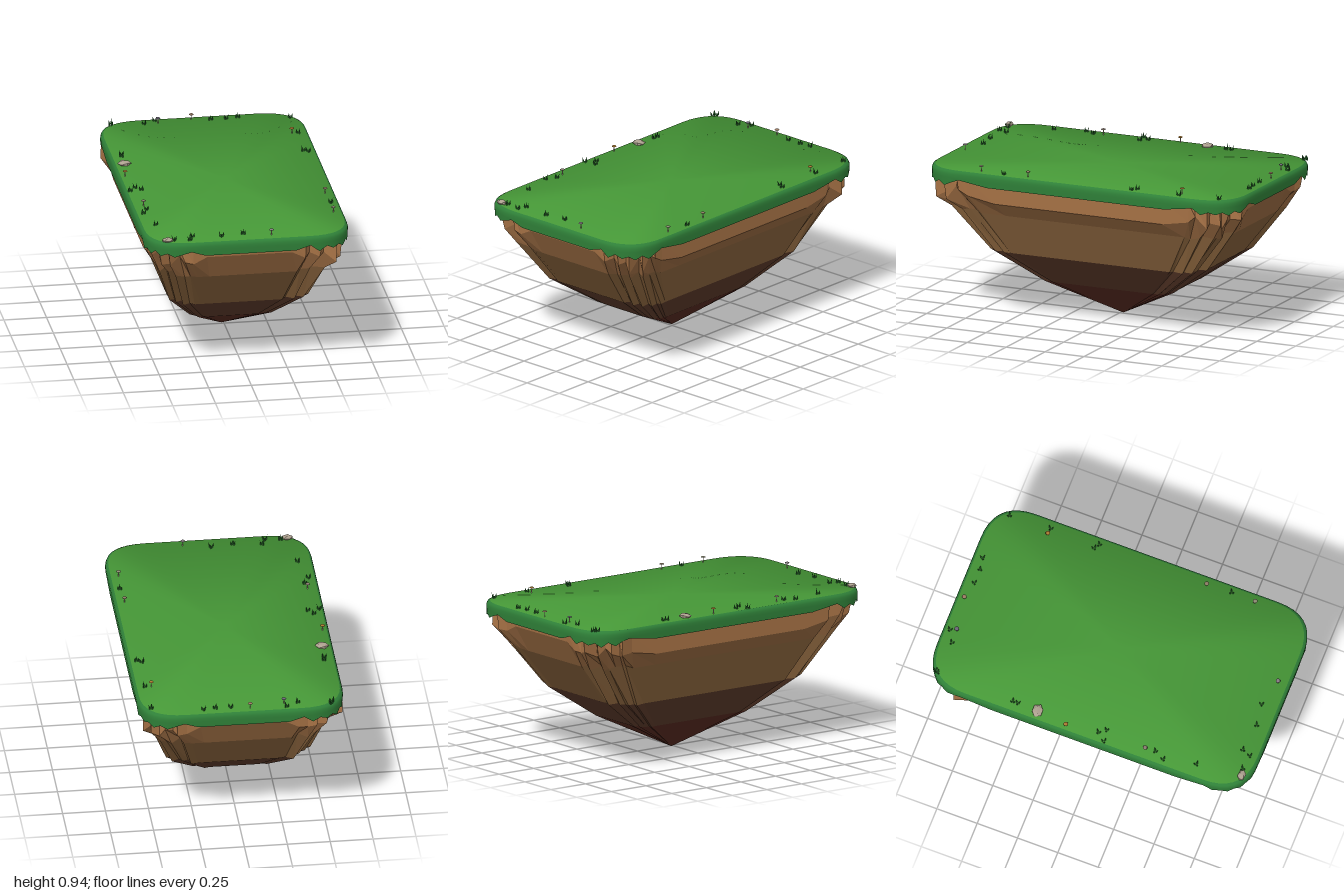
import * as THREE from 'three';

const HX = 0.6, HZ = 1.0, TOP = 0.9, REACH = 0.25, SEG = 9;

function makeRandom(seed) {
  return () => {
    seed = (seed * 16807) % 2147483647;
    return seed / 2147483647;
  };
}

// Rounded rectangle: soft corners joined by straight sides, walked from +x towards +z.
// Each point knows whether it lies inside a corner, where a corner ends, or along a side.
function makeOutline() {
  const points = [];
  [[1, 1], [-1, 1], [-1, -1], [1, -1]].forEach(([sx, sz], k) => {
    const corner = new THREE.Vector2(sx * HX, sz * HZ);
    const onSide = new THREE.Vector2(sx * HX, sz * (HZ - REACH));
    const onEnd = new THREE.Vector2(sx * (HX - REACH), sz * HZ);
    const even = k % 2 === 0;
    const curve = new THREE.QuadraticBezierCurve(even ? onSide : onEnd, corner, even ? onEnd : onSide);
    curve.getPoints(SEG).forEach((p, i) => {
      points.push({ x: p.x, z: p.y, kind: i === 0 || i === SEG ? 'cornerEnd' : 'corner' });
    });
    const last = points[points.length - 1];
    const mirror = even ? [-last.x, last.z] : [last.x, -last.z];
    for (const t of [0.12, 0.88]) {
      points.push({
        x: THREE.MathUtils.lerp(last.x, mirror[0], t),
        z: THREE.MathUtils.lerp(last.z, mirror[1], t),
        kind: even ? 'endSide' : 'longSide',
      });
    }
  });
  return points;
}

// Closed skin through rows of [x, y, z] points, all rows of equal length
function loft(rows) {
  const n = rows[0].length, index = [];
  for (let r = 0; r < rows.length - 1; r++) {
    for (let j = 0; j < n; j++) {
      const a = r * n + j, b = r * n + (j + 1) % n;
      index.push(a, b, a + n, b, b + n, a + n);
    }
  }
  const geometry = new THREE.BufferGeometry();
  geometry.setAttribute('position', new THREE.Float32BufferAttribute(rows.flat(2), 3));
  geometry.setIndex(index);
  geometry.computeVertexNormals();
  return geometry;
}

function addMesh(parent, name, geometry, color, options = {}) {
  const mesh = new THREE.Mesh(geometry, new THREE.MeshStandardMaterial({ color, ...options }));
  mesh.name = name;
  parent.add(mesh);
  return mesh;
}

// Grass cap: flat top, rounded lip and a ragged hanging hem
function addTurf(group, outline, random) {
  const hem = outline.map((p, i) => {
    if (p.kind === 'cornerEnd') return 0.847;
    if (p.kind === 'corner') return 0.822 + (i % 2 ? 0.012 : -0.012) + (random() - 0.5) * 0.012;
    return 0.821;
  });
  const ring = (inset, y) => outline.map((p, i) => [
    p.x * (1 - inset / HX), y === null ? hem[i] : y, p.z * (1 - inset / HZ)]);
  const lip = [ring(0.016, TOP), ring(0.005, 0.893), ring(0, 0.878), ring(0, 0.857), ring(0.002, null)];
  addMesh(group, 'turfLip', loft(lip), 0x2f8038);
  addMesh(group, 'turfUnderside', loft([ring(0.002, null), ring(0.02, 0.85), ring(0.08, 0.86)]), 0x1f6b3a,
    { side: THREE.DoubleSide });

  // Top surface, its rim normals leaning outwards for a soft rolled edge
  const n = outline.length;
  const top = loft([outline.map(() => [0, TOP, 0]), ring(0.016, TOP)]);
  const normals = top.attributes.normal;
  const v = new THREE.Vector3();
  outline.forEach((p, i) => {
    v.set(0, 1, 0);
    normals.setXYZ(i, v.x, v.y, v.z);
    v.set(Math.pow(p.x / HX, 5), 0, Math.pow(p.z / HZ, 5)).setLength(0.6).setY(1).normalize();
    normals.setXYZ(n + i, v.x, v.y, v.z);
  });
  addMesh(group, 'turfTop', top, 0x459636);
  addMesh(group, 'waterBand', loft([ring(0.012, 0.862), ring(0.014, 0.845), ring(0.05, 0.842)]), 0x35b5c0,
    { side: THREE.DoubleSide });
}

// Faceted rock tapering to a point, with craggy columns at the corners
function addRock(group, outline, random) {
  const crag = outline.map((p, i) => (p.kind === 'corner' ? (i % 2 ? 0.015 : -0.035) + (random() - 0.5) * 0.05 : 0));
  const ledge = { endSide: 0.79, longSide: 0.72, cornerEnd: 0.75 };
  const levels = [
    { y: 0.86, hx: 0.57, hz: 0.955, rough: 0.02, color: 0xa87346 },
    { y: null, hx: 0.562, hz: 0.945, rough: 0.05, color: 0x966840 },
    { y: 0.64, hx: 0.5, hz: 0.87, rough: 0.04, color: 0x85603a },
    { y: 0.395, hx: 0.41, hz: 0.68, rough: 0.03, color: 0x593828 },
    { y: 0.205, hx: 0.25, hz: 0.41, rough: 0.02, color: 0x55291f },
    { y: 0, hx: 0, hz: 0, rough: 0 },
  ];
  const rows = levels.map((level, r) => outline.map((p, i) => {
    const corner = p.kind === 'corner';
    const s = 1 + crag[i] + (corner ? (random() - 0.5) * level.rough : 0);
    let y = level.y;
    if (y === null) y = ledge[p.kind] ?? 0.71 + random() * 0.09;
    else if (r === 2 && corner) y += (random() - 0.3) * 0.04;
    const shift = -0.015 * (1 - level.hz);
    return [p.x / HX * level.hx * s + shift, y, p.z / HZ * level.hz * s + shift];
  }));
  const names = ['rockRim', 'rockShoulder', 'rockFlank', 'rockLower', 'rockTip'];
  names.forEach((name, r) => {
    addMesh(group, name, loft([rows[r], rows[r + 1]]), levels[r].color, { flatShading: true });
  });
}

function makeTuft(random) {
  const tuft = new THREE.Group();
  tuft.name = 'grassTuft';
  const spin = random() * Math.PI;
  for (let k = 0; k < 3; k++) {
    const height = 0.024 + random() * 0.009;
    const blade = new THREE.ConeGeometry(0.006, height, 4).translate(0, height / 2, 0).rotateZ(-0.28);
    blade.translate(0.008, 0, 0).rotateY(spin + k * Math.PI * 2 / 3);
    addMesh(tuft, 'blade', blade, 0x2a7030, { flatShading: true });
  }
  return tuft;
}

function makeMushroom(capColor) {
  const mushroom = new THREE.Group();
  mushroom.name = 'mushroom';
  addMesh(mushroom, 'stem', new THREE.CylinderGeometry(0.0025, 0.003, 0.034, 6).translate(0, 0.017, 0), 0xcfc4a8);
  const cap = new THREE.SphereGeometry(0.014, 8, 4, 0, Math.PI * 2, 0, Math.PI / 2);
  cap.scale(1, 0.5, 1).translate(0, 0.031, 0);
  addMesh(mushroom, 'cap', cap, capColor, { side: THREE.DoubleSide });
  return mushroom;
}

export function createModel() {
  const group = new THREE.Group();
  group.name = 'floatingIsland';
  const random = makeRandom(77);
  const outline = makeOutline();
  addTurf(group, outline, random);
  addRock(group, outline, random);

  const place = (object, x, z) => {
    object.position.set(x, TOP, z);
    group.add(object);
  };

  // Grass tufts around the rim
  const tufts = [
    [-0.52, -0.93], [-0.51, -0.95], [-0.32, -0.92], [-0.25, -0.96], [0.07, -0.93], [0.16, -0.93], [0.23, -0.94],
    [0.53, -0.89], [0.54, -0.64], [0.52, -0.36], [0.55, -0.34], [-0.53, -0.46], [-0.53, -0.43], [-0.53, 0.07],
    [-0.57, 0.12], [-0.5, 0.11], [-0.52, 0.42], [-0.55, 0.48], [-0.51, 0.67], [0.55, 0.48], [-0.33, 0.89],
    [-0.35, 0.94], [-0.44, 0.93], [-0.16, 0.91], [-0.03, 0.89],
  ];
  tufts.forEach(([x, z]) => place(makeTuft(random), x, z));

  // Mushrooms
  const mushrooms = [
    [-0.04, -0.95, 0x9a7a62], [-0.24, -0.92, 0x6b6575], [0.5, -0.64, 0xa87830], [-0.56, -0.12, 0xa87830],
    [-0.53, 0.36, 0x8a7a70], [0.54, 0.33, 0x8a7a62], [0.54, 0.63, 0x8a8a70], [0.13, 0.93, 0x857a80],
  ];
  mushrooms.forEach(([x, z, color]) => place(makeMushroom(color), x, z));

  // Stones
  [[-0.535, -0.305, 0.042, 0.036], [-0.48, 0.94, 0.036, 0.024]].forEach(([x, z, rx, rz], i) => {
    const geometry = new THREE.IcosahedronGeometry(1, 0).rotateY(i + 0.4).scale(rx, 0.016, rz);
    const holder = new THREE.Group();
    holder.name = 'stone';
    addMesh(holder, 'stoneBody', geometry, 0xada08f, { flatShading: true }).position.y = 0.009;
    place(holder, x, z);
  });
  return group;
}
